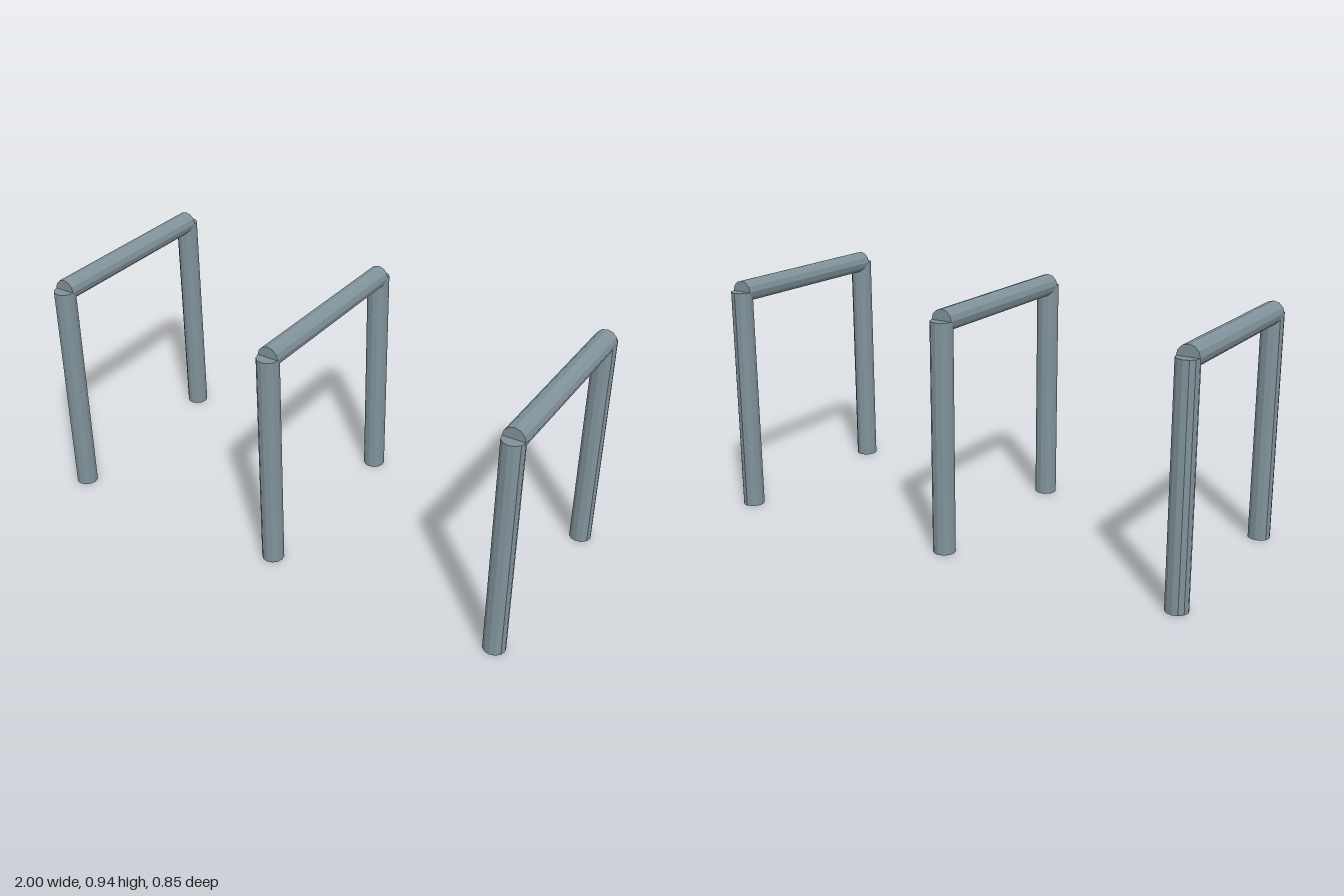
import * as THREE from 'three';

const RADIUS = 0.043;
const HEIGHT = 0.893; // post height, also the axis height of the top rail
const HALF_DEPTH = 0.383; // post axis distance from the centre
const SPACING = 0.957; // distance between neighbouring hoops

export function createModel() {
  const model = new THREE.Group();
  model.name = 'bikeRack';
  const steel = new THREE.MeshStandardMaterial({ color: 0x80929a, flatShading: true });
  steel.name = 'greySteel';

  const postGeometry = new THREE.CylinderGeometry(RADIUS, RADIUS, HEIGHT, 12);
  const railGeometry = new THREE.CylinderGeometry(RADIUS, RADIUS, HALF_DEPTH * 2, 12);
  railGeometry.rotateX(Math.PI / 2);

  // Three identical hoops in a row
  ['right', 'middle', 'left'].forEach((side, i) => {
    const hoop = new THREE.Group();
    hoop.name = side + 'Hoop';
    hoop.position.x = (i - 1) * SPACING;

    // Two upright posts
    for (const s of [1, -1]) {
      const post = new THREE.Mesh(postGeometry, steel);
      post.name = s > 0 ? 'frontPost' : 'backPost';
      post.position.set(0, HEIGHT / 2, s * HALF_DEPTH);
      hoop.add(post);
    }

    // Rail lying half sunk into the post tops
    const rail = new THREE.Mesh(railGeometry, steel);
    rail.name = 'topRail';
    rail.position.y = HEIGHT;
    hoop.add(rail);

    model.add(hoop);
  });
  return model;
}
